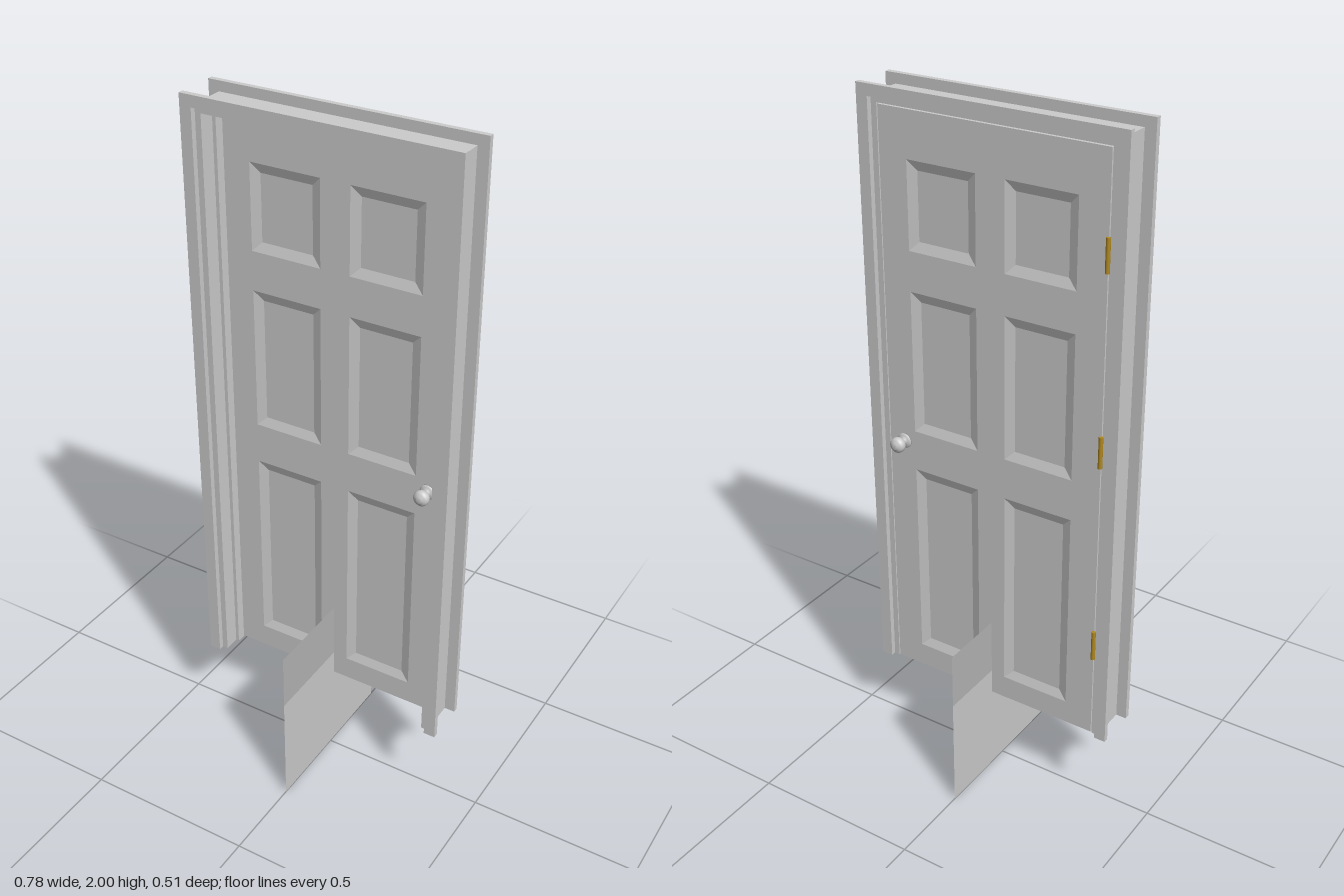
import * as THREE from 'three';

const BASE = 0.262;        // underside of the frame and door
const DOOR_BACK = -0.055;
const DOOR_FRONT = -0.022;

const material = (color = 0xcccccc, options = {}) => new THREE.MeshStandardMaterial({ color, ...options });
const grey = material();
const brass = material(0xb08820);

function mesh(name, geometry, mat = grey) {
  const m = new THREE.Mesh(geometry, mat);
  m.name = name;
  return m;
}

function extrude(shape, z0, z1) {
  const g = new THREE.ExtrudeGeometry(shape, { depth: z1 - z0, bevelEnabled: false, curveSegments: 16 });
  return g.translate(0, 0, z0);
}

// Rectangle given as [x0, y0, x1, y1]
function rectangle([x0, y0, x1, y1], Type = THREE.Shape) {
  return new Type([[x0, y0], [x1, y0], [x1, y1], [x0, y1]].map(p => new THREE.Vector2(...p)));
}

// Three-sided surround, open at the bottom
function surround(name, outer, top, inner, innerTop, z0, z1) {
  const points = [[-outer, BASE], [-inner, BASE], [-inner, innerTop], [inner, innerTop],
    [inner, BASE], [outer, BASE], [outer, top], [-outer, top]];
  return mesh(name, extrude(new THREE.Shape(points.map(p => new THREE.Vector2(...p))), z0, z1));
}

// Recessed panel: four sloping sides round a flat field, facing +z
function panelGeometry([x0, y0, x1, y1], z, depth, slope) {
  const ring = (d, h) => [[x0 + d, y0 + d, h], [x1 - d, y0 + d, h], [x1 - d, y1 - d, h], [x0 + d, y1 - d, h]];
  const a = ring(0, z), b = ring(slope, z - depth);
  const out = [];
  const quad = (p, q, r, s) => out.push(...p, ...q, ...r, ...p, ...r, ...s);
  for (let i = 0; i < 4; i++) {
    const j = (i + 1) % 4;
    quad(a[i], a[j], b[j], b[i]);
  }
  quad(...b);
  const g = new THREE.BufferGeometry();
  g.setAttribute('position', new THREE.Float32BufferAttribute(out, 3));
  g.computeVertexNormals();
  return g;
}

function createDoor() {
  const door = new THREE.Group();
  door.name = 'door';
  const rects = [];
  for (const [y0, y1] of [[0.335, 0.935], [1.055, 1.467], [1.58, 1.822]]) {
    rects.push([-0.25, y0, -0.043, y1], [0.043, y0, 0.25, y1]);
  }
  const slab = rectangle([-0.334, BASE + 0.002, 0.334, 1.949]);
  slab.holes = rects.map(r => rectangle(r, THREE.Path));
  door.add(mesh('doorSlab', extrude(slab, DOOR_BACK, DOOR_FRONT)));

  for (const r of rects) {
    door.add(mesh('frontPanel', panelGeometry(r, DOOR_FRONT, 0.009, 0.027)));
    const back = mesh('backPanel', panelGeometry(r, -DOOR_BACK, 0.009, 0.027));
    back.rotation.y = Math.PI;
    back.position.x = 0;
    door.add(back);
  }
  return door;
}

// Turned knob with rose and neck, its axis along +z
function createKnob(name) {
  const profile = [[0, 0], [0.022, 0], [0.022, 0.003], [0.017, 0.006], [0.009, 0.008], [0.009, 0.014],
    [0.014, 0.017], [0.019, 0.022], [0.022, 0.029], [0.0225, 0.034], [0.021, 0.041], [0.016, 0.046],
    [0.009, 0.048], [0.008, 0.05], [0, 0.05]];
  const g = new THREE.LatheGeometry(profile.map(p => new THREE.Vector2(...p)), 24);
  return mesh(name, g.rotateX(Math.PI / 2));
}

export function createModel() {
  const model = new THREE.Group();
  model.name = 'panelDoor';

  // Casings on both faces, the jamb between them and the door stop
  model.add(
    surround('frontCasing', 0.388, 2, 0.354, 1.968, 0.053, 0.069),
    surround('backCasing', 0.388, 2, 0.354, 1.968, -0.07, -0.055),
    surround('jamb', 0.357, 1.972, 0.337, 1.952, -0.055, 0.053),
    surround('doorStop', 0.337, 1.952, 0.327, 1.943, DOOR_FRONT, 0.006),
    createDoor(),
  );

  // Knobs
  const frontKnob = createKnob('frontKnob');
  frontKnob.position.set(0.286, 1.017, DOOR_FRONT);
  const backKnob = createKnob('backKnob');
  backKnob.position.set(0.286, 1.017, DOOR_BACK);
  backKnob.rotation.y = Math.PI;
  model.add(frontKnob, backKnob);

  // Hinges on the back edge
  for (const y of [0.565, 1.163, 1.69]) {
    const hinge = mesh('hinge', new THREE.CylinderGeometry(0.006, 0.006, 0.09, 12), brass);
    hinge.position.set(-0.334, y, -0.058);
    model.add(hinge);
  }

  // Small strike plate with latch opening and screw holes
  const plate = rectangle([-0.026, 0.221, -0.003, 0.295]);
  plate.holes.push(rectangle([-0.02, 0.246, -0.009, 0.27], THREE.Path));
  for (const y of [0.233, 0.283]) {
    plate.holes.push(new THREE.Path().absarc(-0.0145, y, 0.003, 0, Math.PI * 2));
  }
  model.add(mesh('strikePlate', extrude(plate, -0.01, -0.007)));

  // Upright thin sheet crossing the doorway, with a darker upper band
  for (const [name, y0, y1, color] of [['sheetLower', 0, 0.34, 0xcccccc], ['sheetUpper', 0.34, 0.51, 0xb4b4b4]]) {
    const sheet = mesh(name, new THREE.PlaneGeometry(0.506, y1 - y0), material(color, { side: THREE.DoubleSide }));
    sheet.rotation.y = Math.PI / 2;
    sheet.position.y = (y0 + y1) / 2;
    model.add(sheet);
  }
  return model;
}
